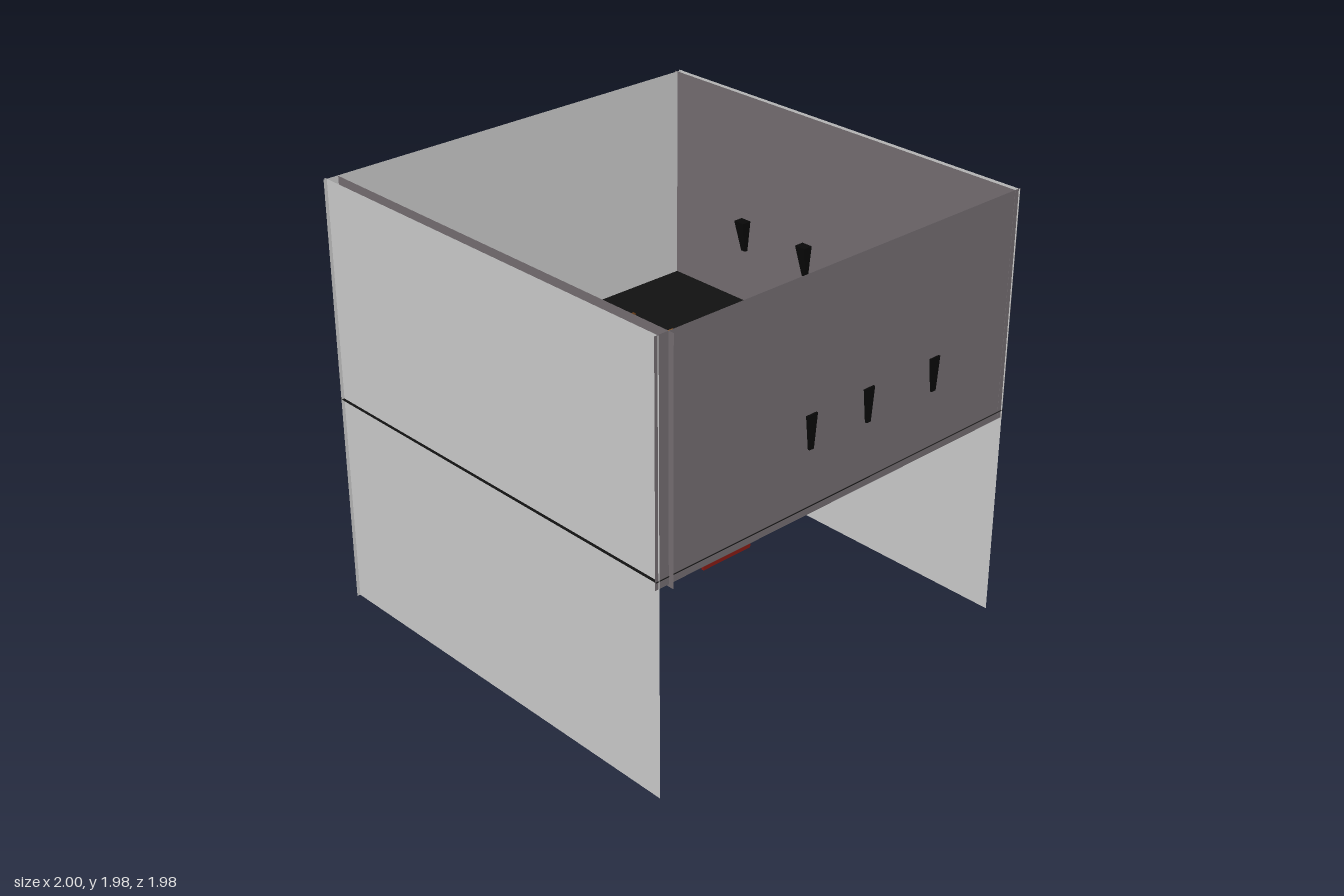
import * as THREE from 'three';

const FLOOR = 0.985, TOP = 1.98;
const mat = (color, side = THREE.FrontSide) =>
  new THREE.MeshStandardMaterial({ color, side, flatShading: true });
const shell = mat(0xcccccc, THREE.DoubleSide);
const plaster = mat(0x746d71, THREE.DoubleSide);
const floorMat = mat(0x111111, THREE.DoubleSide);
const black = mat(0x080808);
const tableWood = mat(0xae6520);
const chairWood = mat(0x613815);
const frameWood = mat(0x5c2616);
const doorRed = mat(0x881a14);

function add(parent, name, geometry, material, x, y, z) {
  const mesh = new THREE.Mesh(geometry, material);
  mesh.name = name;
  mesh.position.set(x, y, z);
  parent.add(mesh);
  return mesh;
}

const box = (parent, name, w, h, d, material, x, y, z) =>
  add(parent, name, new THREE.BoxGeometry(w, h, d), material, x, y, z);

// Upright sheet; turned sheets run along z
function wall(parent, name, width, y0, y1, material, x, z, turned = false) {
  const mesh = add(parent, name, new THREE.PlaneGeometry(width, y1 - y0), material, x, (y0 + y1) / 2, z);
  if (turned) mesh.rotation.y = Math.PI / 2;
}

// Four slender legs whose feet just pierce the floor
function legs(parent, name, half, thick, top, material) {
  const foot = -0.008;
  for (const sx of [-1, 1]) for (const sz of [-1, 1])
    box(parent, name, thick, top - foot, thick, material, sx * half, (top + foot) / 2, sz * half);
}

// Chair facing -z, backrest on its +z edge
function chair(name, x, z, turn) {
  const g = new THREE.Group();
  g.name = name;
  box(g, 'chairSeat', 0.135, 0.018, 0.135, chairWood, 0, 0.136, 0);
  box(g, 'chairBack', 0.135, 0.135, 0.016, chairWood, 0, 0.2125, 0.0595);
  legs(g, 'chairLeg', 0.058, 0.016, 0.13, chairWood);
  g.position.set(x, FLOOR, z);
  g.rotation.y = turn;
  return g;
}

// Square wall light, wide at the top; its rear (+z) face stays upright and pierces the wall
function sconce(parent, x, z, turn) {
  const geo = new THREE.BoxGeometry(0.056, 0.15, 0.056);
  const p = geo.attributes.position;
  for (let i = 0; i < p.count; i++) {
    if (p.getY(i) > 0) continue;
    p.setX(i, p.getX(i) * 0.43);
    if (p.getZ(i) < 0) p.setZ(i, 0.004);
  }
  add(parent, 'sconce', geo, black, x, 1.315, z).rotation.y = turn;
}

export function createModel() {
  const room = new THREE.Group();
  room.name = 'room';

  // Floor sheet
  const floor = add(room, 'floor', new THREE.PlaneGeometry(1.98, 1.975), floorMat, -0.01, FLOOR, -0.001);
  floor.rotation.x = -Math.PI / 2;

  // Full-height outer walls on three sides
  wall(room, 'outerFrontWall', 1.98, 0, TOP, shell, -0.01, 0.972);
  wall(room, 'outerBackWall', 1.98, 0, TOP, shell, -0.01, -0.978);
  wall(room, 'outerRightWall', 1.975, 0, TOP, shell, -0.985, 0, true);

  // Upper inner walls, hanging a little below the floor
  wall(room, 'innerFrontWall', 1.98, 0.94, TOP, plaster, 0.01, 0.92);
  wall(room, 'innerBackWall', 1.975, 0.95, TOP, plaster, -0.0125, -0.955);
  wall(room, 'innerLeftWall', 1.975, 0.95, TOP, plaster, 0.974, 0, true);

  // Wall lights, three per inner wall
  for (const x of [-0.177, 0.143, 0.524]) sconce(room, x, 0.903, 0);
  for (const x of [-0.527, -0.143, 0.173]) sconce(room, x, -0.935, Math.PI);
  for (const z of [-0.517, -0.133, 0.187]) sconce(room, 0.955, z, Math.PI / 2);

  // Door with its frame
  const door = new THREE.Group();
  door.name = 'door';
  box(door, 'doorPanel', 0.01, 0.52, 0.245, doorRed, 0.954, 1.18, 0.607);
  for (const z of [0.465, 0.741])
    box(door, 'doorPost', 0.022, 0.52, 0.034, frameWood, 0.937, 1.215, z);
  box(door, 'doorLintel', 0.022, 0.035, 0.31, frameWood, 0.937, 1.4575, 0.603);
  room.add(door);

  // Table
  const table = new THREE.Group();
  table.name = 'table';
  box(table, 'tableTop', 0.405, 0.022, 0.405, tableWood, 0, 0.205, 0);
  legs(table, 'tableLeg', 0.18, 0.025, 0.196, tableWood);
  table.position.set(-0.008, FLOOR, 0);
  room.add(table);

  // Chairs around the table, backs outward
  room.add(
    chair('frontChair', 0.092, 0.295, 0),
    chair('backChair', 0.105, -0.381, Math.PI),
    chair('leftChair', 0.305, 0, Math.PI / 2),
    chair('rightChair', -0.277, -0.031, -Math.PI / 2),
  );
  return room;
}
